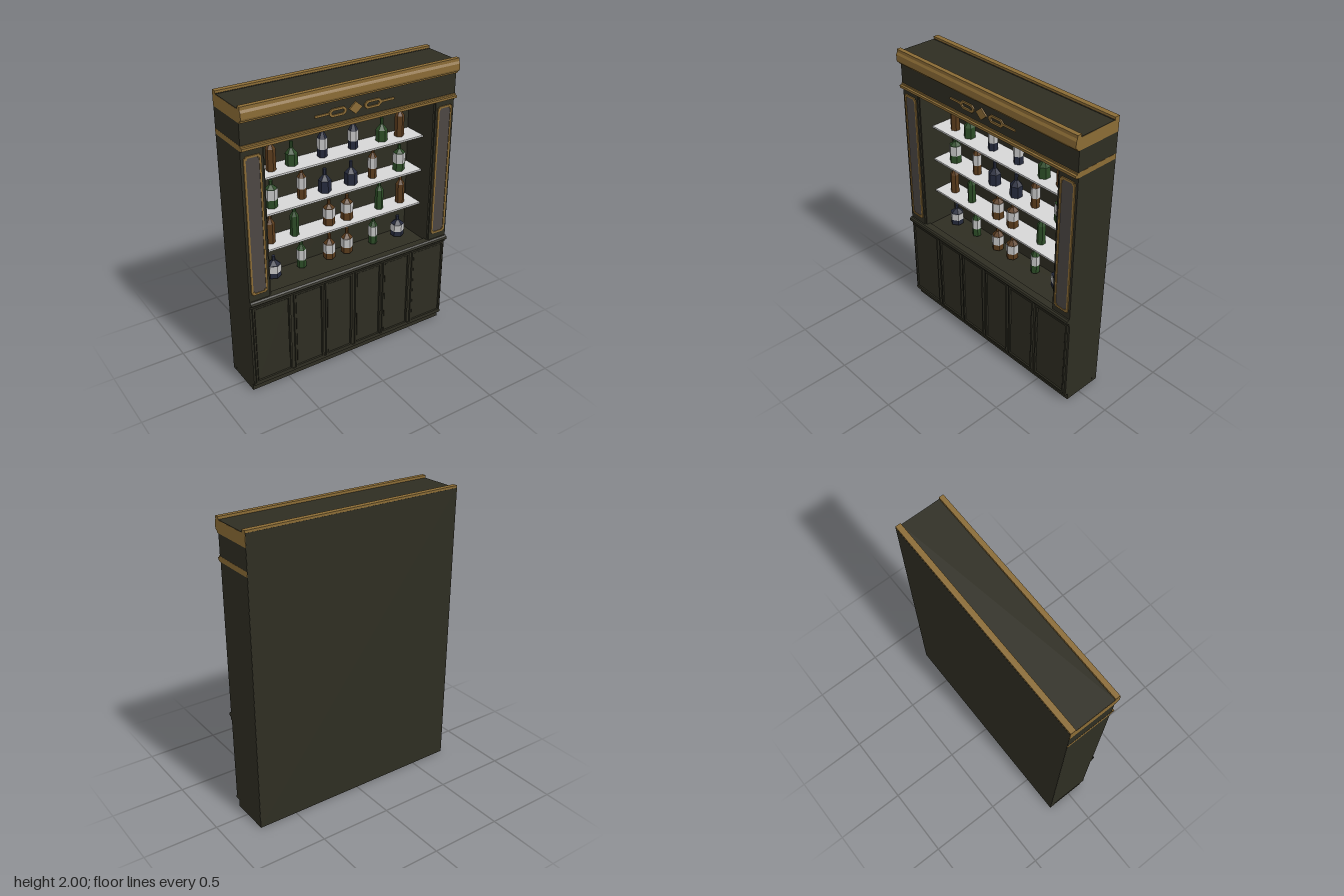
import * as THREE from 'three';

const mat = (name, color, flat = false) => {
  const m = new THREE.MeshStandardMaterial({ color, flatShading: flat });
  m.name = name;
  return m;
};

export function createModel() {
  const wood = mat('dark wood', 0x2e2d22);
  const gold = mat('gold trim', 0x8a6b35);
  const grey = mat('grey panel', 0x4c4643);
  const white = mat('shelf white', 0xd6d6d6);
  const brown = mat('brown glass', 0x5a3b1c, true);
  const green = mat('green glass', 0x2c4c26, true);
  const navy = mat('navy glass', 0x252a3c, true);
  const paper = mat('label paper', 0xc4c4c4, true);

  const model = new THREE.Group();
  model.name = 'backBar';

  const add = (name, geo, material, parent = model) => {
    const m = new THREE.Mesh(geo, material);
    m.name = name;
    parent.add(m);
    return m;
  };
  // Box given by its limits on each axis
  const box = (name, material, x0, x1, y0, y1, z0, z1, parent = model) => {
    const g = new THREE.BoxGeometry(x1 - x0, y1 - y0, z1 - z0);
    g.translate((x0 + x1) / 2, (y0 + y1) / 2, (z0 + z1) / 2);
    return add(name, g, material, parent);
  };
  const polygon = (pts) => new THREE.Shape(pts.map(([x, y]) => new THREE.Vector2(x, y)));
  // Moulding: a (z, y) profile swept across the width
  const moulding = (name, material, width, pts) => {
    const g = new THREE.ExtrudeGeometry(polygon(pts), { depth: width, bevelEnabled: false });
    g.translate(0, 0, -width / 2);
    g.rotateY(-Math.PI / 2);
    return add(name, g, material);
  };
  // Flat plate facing the front, with an optional hole
  const plate = (name, material, pts, hole, z, depth, parent = model) => {
    const s = polygon(pts);
    if (hole) s.holes.push(polygon(hole));
    const g = new THREE.ExtrudeGeometry(s, { depth, bevelEnabled: false });
    g.translate(0, 0, z);
    return add(name, g, material, parent);
  };
  const rect = (x0, x1, y0, y1) => [[x0, y0], [x1, y0], [x1, y1], [x0, y1]];

  // Lower cabinet
  box('plinth', wood, -0.768, 0.768, 0, 0.06, -0.17, 0.11);
  box('cabinetBody', wood, -0.77, 0.77, 0.06, 0.7, -0.17, 0.133);
  box('bottomRail', wood, -0.77, 0.77, 0.055, 0.072, 0.1, 0.14);
  moulding('counterEdge', wood, 1.54, [
    [0.1, 0.66], [0.142, 0.66], [0.142, 0.68], [0.158, 0.682],
    [0.162, 0.69], [0.158, 0.704], [0.148, 0.712], [0.1, 0.712],
  ]);

  // Six cupboard doors with raised frames
  const doors = [[0.012, 0.222], [0.24, 0.46], [0.485, 0.757]];
  for (const side of [-1, 1]) {
    for (const [a, b] of doors) {
      const x0 = side > 0 ? a : -b, x1 = side > 0 ? b : -a;
      const door = new THREE.Group();
      door.name = 'cupboardDoor';
      model.add(door);
      plate('doorFrame', wood, rect(x0, x1, 0.076, 0.662),
        rect(x0 + 0.012, x1 - 0.012, 0.088, 0.65), 0.13, 0.016, door);
      box('doorPanel', wood, x0 + 0.018, x1 - 0.018, 0.094, 0.644, 0.13, 0.14, door);
    }
  }

  // Upper carcass
  box('backPanel', wood, -0.769, 0.769, 0, 1.985, -0.172, -0.13);
  for (const side of [-1, 1]) {
    const column = new THREE.Group();
    column.name = 'sideColumn';
    model.add(column);
    const span = (a, b) => (side > 0 ? [a, b] : [-b, -a]);
    box('columnBody', wood, ...span(0.625, 0.77), 0.7, 1.73, -0.17, 0.138, column);
    box('innerStile', wood, ...span(0.614, 0.63), 0.7, 1.73, -0.14, 0.128, column);

    // Gold frame with stepped-in corners around the grey panel
    const cx = side * 0.697, n = 0.01;
    const notched = (hw, y0, y1) => [
      [cx - hw + n, y0], [cx + hw - n, y0], [cx + hw - n, y0 + n], [cx + hw, y0 + n],
      [cx + hw, y1 - n], [cx + hw - n, y1 - n], [cx + hw - n, y1], [cx - hw + n, y1],
      [cx - hw + n, y1 - n], [cx - hw, y1 - n], [cx - hw, y0 + n], [cx - hw + n, y0 + n],
    ];
    plate('goldFrame', gold, notched(0.057, 0.755, 1.69),
      notched(0.044, 0.768, 1.677), 0.136, 0.009, column);
    box('greyPanel', grey, cx - 0.046, cx + 0.046, 0.766, 1.679, 0.135, 0.141, column);
  }

  // Frieze and gold mouldings
  box('frieze', wood, -0.77, 0.77, 1.755, 1.905, -0.17, 0.143);
  moulding('lowerMoulding', gold, 1.542, [
    [-0.17, 1.727], [0.15, 1.727], [0.164, 1.734], [0.164, 1.75],
    [0.15, 1.752], [0.15, 1.762], [-0.17, 1.762],
  ]);
  moulding('cornice', gold, 1.542, [
    [-0.171, 1.9], [0.155, 1.9], [0.158, 1.912], [0.168, 1.914], [0.174, 1.928],
    [0.174, 1.965], [0.166, 1.98], [0.166, 2], [0.135, 2], [0.135, 1.98],
    [-0.135, 1.98], [-0.135, 2], [-0.171, 2],
  ]);
  box('topBoard', wood, -0.77, 0.77, 1.975, 1.983, -0.135, 0.135);

  // Frieze ornament: diamond, linked rings and bars
  const ornament = new THREE.Group();
  ornament.name = 'friezeOrnament';
  model.add(ornament);
  const oy = 1.828;
  plate('diamond', gold, [[-0.047, oy], [0, oy - 0.04], [0.047, oy], [0, oy + 0.04]],
    null, 0.142, 0.011, ornament);
  const ring = (cx, w, h, c) => [
    [cx - w, oy - h + c], [cx - w + c, oy - h], [cx + w - c, oy - h], [cx + w, oy - h + c],
    [cx + w, oy + h - c], [cx + w - c, oy + h], [cx - w + c, oy + h], [cx - w, oy + h - c],
  ];
  for (const side of [-1, 1]) {
    plate('ring', gold, ring(side * 0.126, 0.062, 0.026, 0.018),
      ring(side * 0.126, 0.045, 0.012, 0.009), 0.142, 0.01, ornament);
    box('bar', gold, side * 0.235 - 0.05, side * 0.235 + 0.05, oy - 0.007, oy + 0.007,
      0.142, 0.15, ornament);
  }

  // Shelves
  const levels = [1.465, 1.217, 0.967, 0.712];
  for (const y of levels.slice(0, 3)) {
    box('shelf', white, -0.616, 0.616, y - 0.012, y, -0.131, 0.034);
  }

  // Six-sided bottles, mirrored: [x, height, width, glass, label bottom, label top]
  const rows = [
    [[0.48, 0.21, 0.055, brown], [0.337, 0.155, 0.068, green], [0.115, 0.21, 0.055, navy, 0.055, 0.125]],
    [[0.487, 0.18, 0.07, green, 0.055, 0.125], [0.27, 0.21, 0.05, brown, 0.07, 0.145], [0.1, 0.16, 0.074, navy]],
    [[0.505, 0.205, 0.053, brown], [0.33, 0.205, 0.05, green], [0.07, 0.178, 0.07, brown, 0.055, 0.12]],
    [[0.492, 0.15, 0.08, navy, 0.038, 0.088], [0.285, 0.21, 0.053, green, 0.06, 0.132], [0.07, 0.18, 0.07, brown, 0.043, 0.108]],
  ];
  rows.forEach((row, i) => {
    for (const side of [-1, 1]) {
      for (const [x, h, w, glass, l0, l1] of row) {
        const bottle = new THREE.Group();
        bottle.name = 'bottle';
        bottle.position.set(side * x, levels[i], -0.05);
        model.add(bottle);
        const r = w / 2 / 0.866;
        const neck = 0.012;
        const shoulder = l1 ? l1 + 0.003 : h * (w > 0.06 ? 0.5 : 0.68);
        const neckY = shoulder + (h - shoulder) * 0.45;
        const profile = [[0, 0], [r, 0], [r, shoulder], [neck, neckY], [neck, h], [0, h]];
        add('bottleGlass', new THREE.LatheGeometry(
          profile.map(([a, b]) => new THREE.Vector2(a, b)), 6), glass, bottle);
        if (l1) {
          const label = add('bottleLabel',
            new THREE.CylinderGeometry(r + 0.002, r + 0.002, l1 - l0, 6), paper, bottle);
          label.position.y = (l0 + l1) / 2;
        }
      }
    }
  });

  return model;
}
